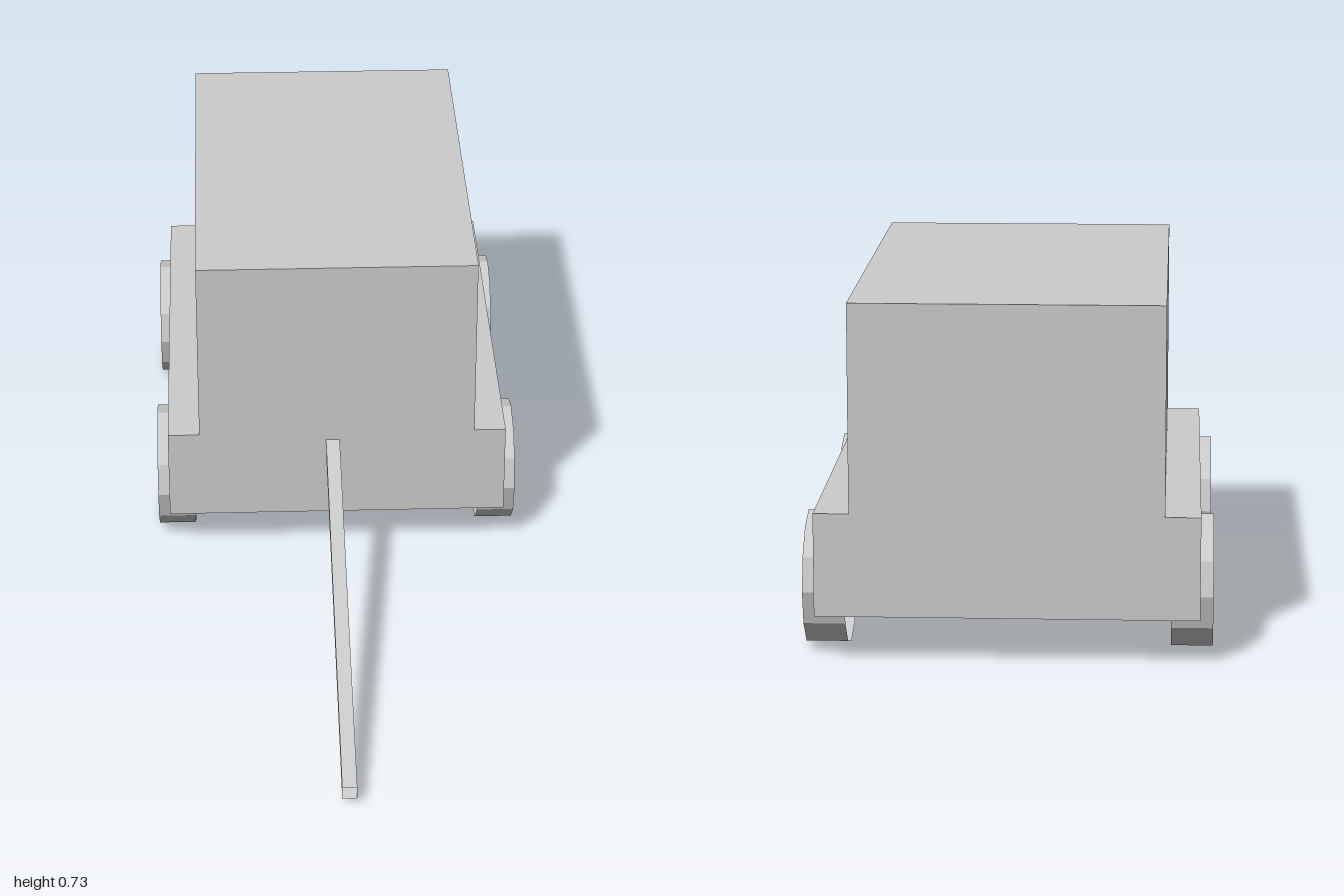
import * as THREE from 'three';

const CX = -0.002;              // body centreline
const FRONT = 0.027, BACK = -1; // body ends in z

const material = new THREE.MeshStandardMaterial({
  color: 0xcccccc, flatShading: true, side: THREE.DoubleSide,
});

function addMesh(parent, name, geometry) {
  const mesh = new THREE.Mesh(geometry, material);
  mesh.name = name;
  parent.add(mesh);
  return mesh;
}

// Thin shell, open underneath: stepped end walls joined by flat panels
function createBody() {
  const body = new THREE.Group();
  body.name = 'wagonBody';
  const half = [[0.383, 0.095], [0.383, 0.305], [0.312, 0.305], [0.312, 0.727]];
  const mirrored = half.map(([x, y]) => [-x, y]).reverse();
  const profile = [...half, ...mirrored].map(([x, y]) => new THREE.Vector2(x + CX, y));

  const wall = new THREE.ShapeGeometry(new THREE.Shape(profile));
  addMesh(body, 'frontWall', wall).position.z = FRONT;
  const rear = addMesh(body, 'backWall', wall);
  rear.position.set(2 * CX, 0, BACK);
  rear.rotation.y = Math.PI;

  const names = ['leftSkirt', 'leftLedge', 'leftWall', 'roof', 'rightWall', 'rightLedge', 'rightSkirt'];
  names.forEach((name, i) => {
    const a = profile[i], b = profile[i + 1];
    const panel = new THREE.PlaneGeometry(FRONT - BACK, a.distanceTo(b));
    panel.rotateY(Math.PI / 2); // normal +x, height along y
    panel.rotateZ(Math.atan2(b.y - a.y, b.x - a.x) - Math.PI / 2);
    panel.translate((a.x + b.x) / 2, (a.y + b.y) / 2, (FRONT + BACK) / 2);
    addMesh(body, name, panel);
  });
  return body;
}

// Twelve-sided wheel: a rim with a disc on its outer side only
function createWheel(name, side, z) {
  const radius = 0.137, width = 0.084;
  const wheel = new THREE.Group();
  wheel.name = name;
  const rim = new THREE.CylinderGeometry(radius, radius, width, 12, 1, true);
  addMesh(wheel, 'rim', rim.rotateZ(-Math.PI / 2));
  const disc = new THREE.CircleGeometry(radius, 12);
  disc.rotateY(side * Math.PI / 2).translate(side * width / 2, 0, 0);
  addMesh(wheel, 'disc', disc);
  wheel.position.set(side * 0.367 + CX, radius, z);
  return wheel;
}

// Square hollow drawbar, sheared so that its ends stay vertical
function createDrawbar() {
  const zBack = 0.02, zFront = 1;
  const bar = new THREE.CylinderGeometry(Math.SQRT1_2, Math.SQRT1_2, zFront - zBack, 4, 1, true);
  bar.rotateY(Math.PI / 4).rotateX(Math.PI / 2).scale(0.031, 0.028, 1);
  bar.translate(-0.0115, 0, (zFront + zBack) / 2);
  const p = bar.attributes.position;
  for (let i = 0; i < p.count; i++) {
    p.setY(i, p.getY(i) + 0.028 + (zFront - p.getZ(i)) * 0.251);
  }
  return bar;
}

export function createModel() {
  const model = new THREE.Group();
  model.name = 'wagon';
  model.add(createBody());
  for (const [sideName, side] of [['Left', 1], ['Right', -1]]) {
    model.add(createWheel('front' + sideName + 'Wheel', side, -0.126));
    model.add(createWheel('back' + sideName + 'Wheel', side, -0.838));
  }
  addMesh(model, 'drawbar', createDrawbar());
  return model;
}
